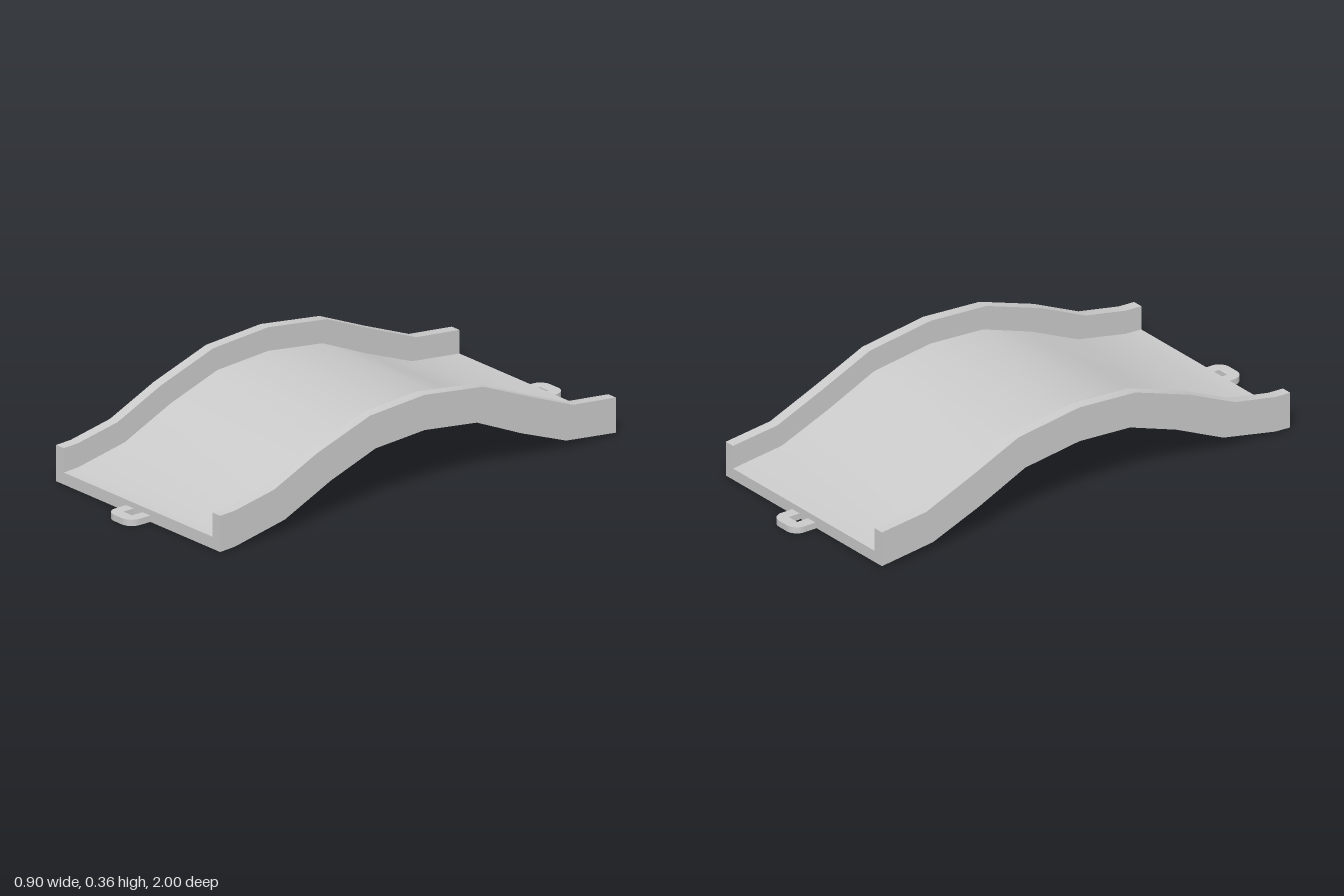
import * as THREE from 'three';

const material = new THREE.MeshStandardMaterial({ color: 0xcccccc, side: THREE.DoubleSide });

// Stations front to back: [bottom z, bottom y, rim z, rim y]
const stations = [
  [0.907, 0, 0.907, 0.137],
  [0.84, 0.004, 0.84, 0.14],
  [0.61, 0.05, 0.66, 0.175],
  [0.4, 0.145, 0.46, 0.265],
  [0.195, 0.216, 0.22, 0.346],
  [-0.03, 0.23, -0.03, 0.363],
  [-0.27, 0.199, -0.3, 0.327],
  [-0.475, 0.108, -0.505, 0.24],
  [-0.68, 0.03, -0.71, 0.158],
  [-0.907, 0.004, -0.907, 0.137],
];

// U-shaped section: [x, fraction of the height from bottom to rim]
const W = 0.452, w = 0.41, f = 0.33;
const section = [[-W, 0], [W, 0], [W, 1], [w, 1], [w, f], [-w, f], [-w, 1], [-W, 1]];

function channelGeometry() {
  const positions = [], index = [];
  const add = ([x, t], [z0, y0, z1, y1]) =>
    positions.push(x, y0 + (y1 - y0) * t, z0 + (z1 - z0) * t) / 3 - 1;

  // One strip per section edge: smooth along the run, sharp across it
  section.forEach((a, k) => {
    const b = section[(k + 1) % section.length];
    const rows = stations.map((s) => [add(a, s), add(b, s)]);
    for (let i = 0; i < rows.length - 1; i++) {
      const [af, bf] = rows[i], [ab, bb] = rows[i + 1];
      index.push(af, ab, bb, af, bb, bf);
    }
  });

  // Flat end caps: floor and two walls
  [stations[0], stations[stations.length - 1]].forEach((s, back) => {
    const v = section.map((p) => add(p, s));
    for (const q of [[0, 1, 4, 5], [1, 2, 3, 4], [0, 5, 6, 7]]) {
      const [a, b, c, d] = (back ? q.reverse() : q).map((n) => v[n]);
      index.push(a, b, c, a, c, d);
    }
  });

  const geometry = new THREE.BufferGeometry();
  geometry.setAttribute('position', new THREE.Float32BufferAttribute(positions, 3));
  geometry.setIndex(index);
  geometry.computeVertexNormals();
  return geometry;
}

// Flat U-shaped loop with rounded outer corners, lying at the back end
function lugGeometry() {
  const h = 0.067, hole = 0.024, z0 = 0.905, z1 = 1, r = 0.045;
  const shape = new THREE.Shape();
  shape.moveTo(hole, z0);
  shape.lineTo(h, z0);
  shape.lineTo(h, z1 - r);
  shape.absarc(h - r, z1 - r, r, 0, Math.PI / 2, false);
  shape.lineTo(-h + r, z1);
  shape.absarc(-h + r, z1 - r, r, Math.PI / 2, Math.PI, false);
  shape.lineTo(-h, z0);
  shape.lineTo(-hole, z0);
  shape.lineTo(-hole, 0.955);
  shape.lineTo(hole, 0.955);
  shape.closePath();
  return new THREE.ExtrudeGeometry(shape, { depth: 0.024, bevelEnabled: false, curveSegments: 6 })
    .rotateX(-Math.PI / 2);
}

export function createModel() {
  const model = new THREE.Group();
  model.name = 'curvedTrackPiece';

  const channel = new THREE.Mesh(channelGeometry(), material);
  channel.name = 'channel';
  model.add(channel);

  // Connector lugs at both ends
  for (const [name, turn] of [['backLug', 0], ['frontLug', Math.PI]]) {
    const lug = new THREE.Mesh(lugGeometry(), material);
    lug.name = name;
    lug.rotation.y = turn;
    model.add(lug);
  }
  return model;
}
